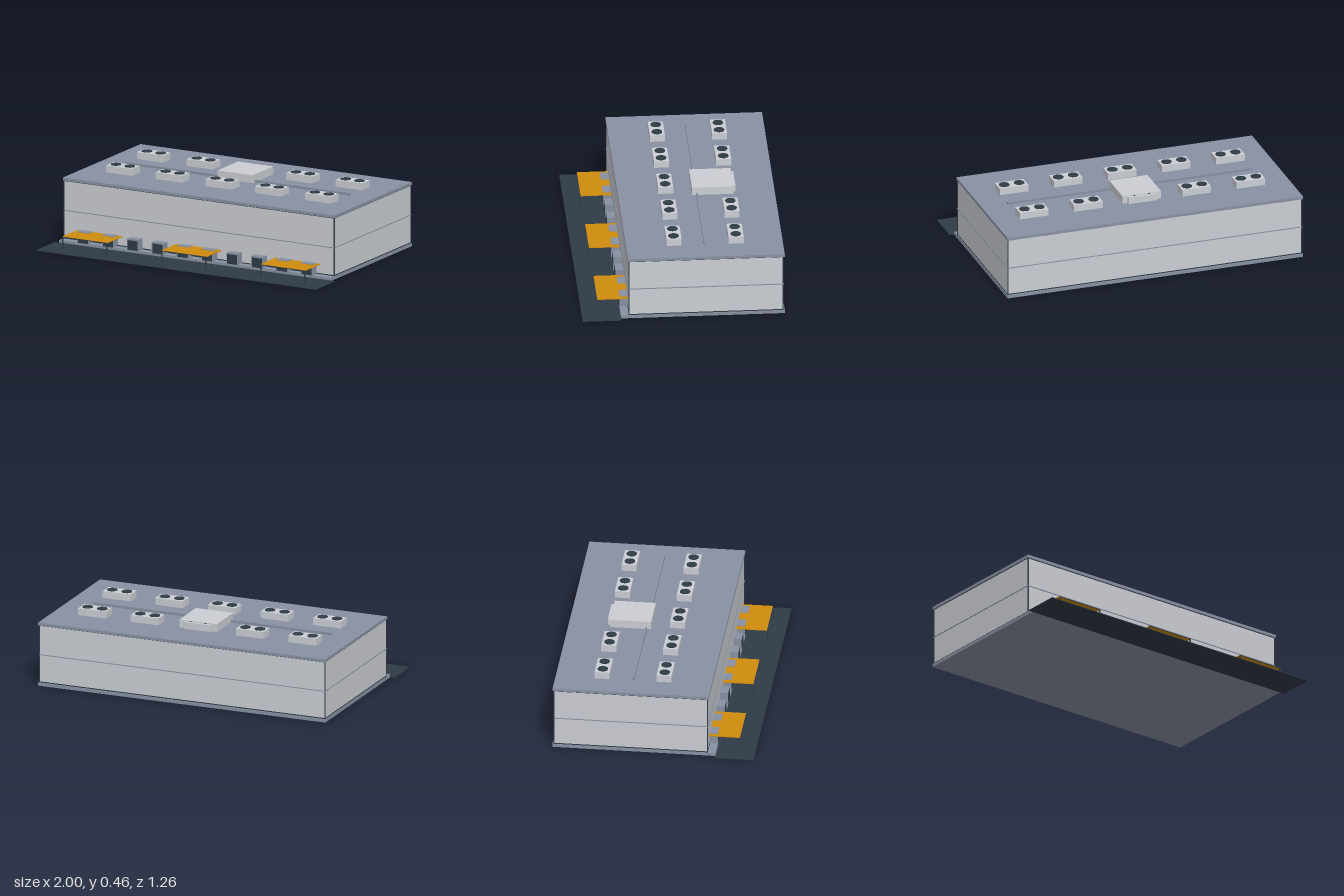
import * as THREE from 'three';

export function createModel() {
  const model = new THREE.Group();
  model.name = 'warehouse';
  const mat = (name, color) => {
    const m = new THREE.MeshStandardMaterial({ color });
    m.name = name;
    return m;
  };
  const panel = mat('pale panel', 0xcbced3);
  const slate = mat('slate', 0x8891a3);
  const dark = mat('dark blue grey', 0x2e3b46);
  const orange = mat('orange', 0xd08c0e);

  // Box given by its extents on each axis
  const box = (parent, name, m, x0, x1, y0, y1, z0, z1) => {
    const mesh = new THREE.Mesh(new THREE.BoxGeometry(x1 - x0, y1 - y0, z1 - z0), m);
    mesh.position.set((x0 + x1) / 2, (y0 + y1) / 2, (z0 + z1) / 2);
    mesh.name = name;
    parent.add(mesh);
    return mesh;
  };
  const group = (name, x = 0, y = 0, z = 0) => {
    const g = new THREE.Group();
    g.name = name;
    g.position.set(x, y, z);
    model.add(g);
    return g;
  };

  // Building shell
  const W = 0.964, ZF = 0.338, ZB = -0.62;
  box(model, 'baseSlab', slate, -0.97, 0.97, 0, 0.02, -0.63, 0.39);
  box(model, 'walls', panel, -W, W, 0.02, 0.392, ZB, ZF);
  box(model, 'roofSlab', slate, -0.97, 0.97, 0.392, 0.41, -0.63, 0.345);
  box(model, 'yard', dark, -1, 1, 0, 0.004, 0.39, 0.63);

  // Thin bands wrapping the walls, and corner trims
  const band = (name, m, y0, y1, d) => box(model, name, m, -W - d, W + d, y0, y1, ZB - d, ZF + d);
  band('lowerTrim', dark, 0.02, 0.026, 0.002);
  band('upperTrim', dark, 0.388, 0.392, 0.002);
  band('middleSeam', slate, 0.198, 0.203, 0.004);
  for (const x of [-W, W]) for (const z of [ZB, ZF]) {
    box(model, 'cornerTrim', dark, x - 0.003, x + 0.003, 0.02, 0.392, z - 0.003, z + 0.003);
  }

  // Loading docks along the front
  for (let i = 0; i < 10; i++) {
    const dock = group('loadingDock', -0.8 + i * 0.1775);
    box(dock, 'dockShelter', slate, -0.042, 0.042, 0.02, 0.09, ZF, 0.389);
    box(dock, 'dockDoor', dark, -0.035, 0.035, 0.02, 0.081, 0.389, 0.392);
  }

  // Orange canopies on front posts
  for (const x of [-0.708, 0, 0.706]) {
    const canopy = group('canopy', x);
    box(canopy, 'canopyRoof', orange, -0.16, 0.16, 0.081, 0.086, ZF, 0.53);
    box(canopy, 'canopyEdge', dark, -0.16, 0.16, 0.081, 0.085, 0.53, 0.532);
    for (const s of [-1, 1]) {
      box(canopy, 'canopyPost', dark, s * 0.157 - 0.003, s * 0.157 + 0.003, 0, 0.082, 0.526, 0.532);
    }
  }

  // Rooftop units with twin fans
  for (const z of [0.047, -0.34]) for (let i = -2; i <= 2; i++) {
    const unit = group('rooftopUnit', i * 0.355, 0.41, z);
    box(unit, 'unitBody', panel, -0.094, 0.094, 0, 0.044, -0.047, 0.047);
    for (const s of [-1, 1]) {
      const fan = new THREE.Mesh(new THREE.CylinderGeometry(0.033, 0.033, 0.004, 12), dark);
      fan.position.set(s * 0.049, 0.046, 0);
      fan.name = 'fan';
      unit.add(fan);
    }
  }

  // Plant room and service pipe
  box(model, 'plantRoom', panel, -0.126, 0.126, 0.41, 0.461, -0.371, -0.114);
  box(model, 'servicePipe', slate, -0.803, 0.803, 0.41, 0.425, -0.152, -0.139);

  return model;
}
